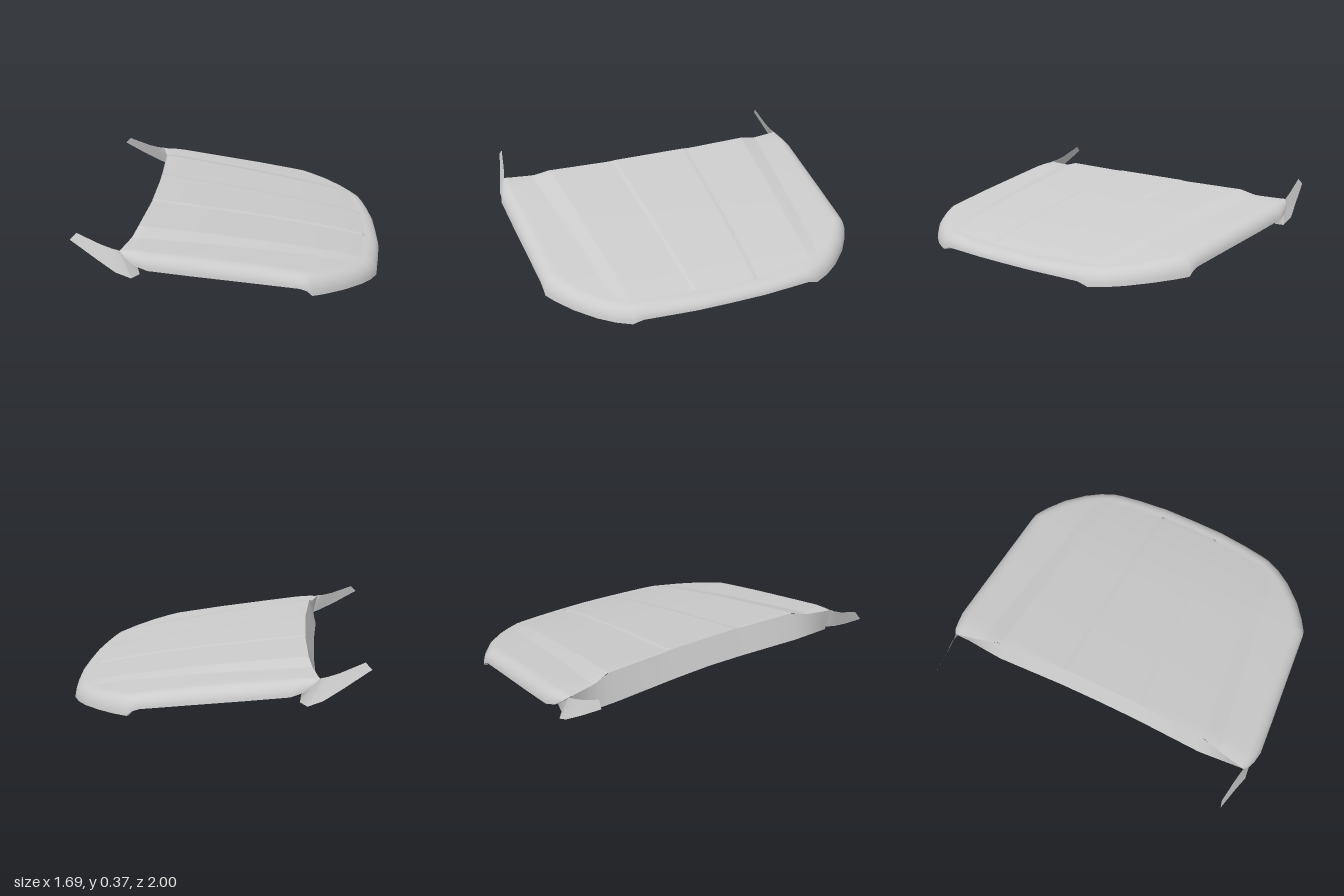
import * as THREE from 'three';
import { mergeVertices } from 'three/addons/utils/BufferGeometryUtils.js';

const material = new THREE.MeshStandardMaterial({ color: 0xcccccc, side: THREE.DoubleSide });

// Piecewise-linear lookup through [input, output] pairs
function lookup(table, v) {
  if (v <= table[0][0]) return table[0][1];
  for (let i = 1; i < table.length; i++) {
    const [a, b] = [table[i - 1], table[i]];
    if (v <= b[0]) return THREE.MathUtils.mapLinear(v, a[0], b[0], a[1], b[1]);
  }
  return table[table.length - 1][1];
}

// Welded smooth surface from one or more grids of [x, y, z] rows
function surface(name, ...grids) {
  const pos = [], index = [];
  for (const rows of grids) {
    const base = pos.length / 3, n = rows[0].length;
    rows.forEach(row => row.forEach(p => pos.push(...p)));
    for (let i = 0; i < rows.length - 1; i++) {
      for (let j = 0; j < n - 1; j++) {
        const a = base + i * n + j, b = a + 1, c = a + n, d = c + 1;
        index.push(a, b, c, b, d, c);
      }
    }
  }
  let geo = new THREE.BufferGeometry();
  geo.setAttribute('position', new THREE.Float32BufferAttribute(pos, 3));
  geo.setIndex(index);
  geo = mergeVertices(geo, 1e-4);
  geo.computeVertexNormals();
  const mesh = new THREE.Mesh(geo, material);
  mesh.name = name;
  return mesh;
}

// Lower rim of one half, from the rear corner round to the nose
const halfRim = [
  [-0.58, 0.285, 0.945], [-0.55, 0.255, 0.97], [-0.5, 0.22, 0.987], [-0.43, 0.197, 1],
  [-0.2, 0.165, 0.987], [0.1, 0.125, 0.968], [0.36, 0.09, 0.952], [0.4, 0.075, 0.95],
  [0.43, 0.048, 0.946], [0.5, 0.043, 0.906], [0.6, 0.035, 0.833], [0.7, 0.022, 0.73],
  [0.76, 0.013, 0.645], [0.8, 0.006, 0.56], [0.808, 0.026, 0.5], [0.825, 0.031, 0.38],
  [0.843, 0.034, 0.2], [0.845, 0.034, 0],
];
const spine = [[-0.5, 0.32], [0, 0.248], [0.4, 0.178], [0.6, 0.138], [0.75, 0.1], [0.8, 0.082]];
const rearEdge = [[0, -0.5], [0.25, -0.5], [0.67, -0.522], [0.945, -0.58]];
const rearX = z => lookup(rearEdge, Math.abs(z));

// Crease lines converge toward the nose
function creases(x) {
  const t = THREE.MathUtils.clamp((x + 0.5) / 1.25, 0, 1);
  return { t, inner: 0.24 - 0.06 * t, top: 0.67 - 0.12 * t, foot: 0.765 - 0.16 * t };
}

// Height of the upper skin
function skinY(x, z) {
  const c = creases(x);
  const drop = lookup([
    [c.inner, 0], [c.inner + 0.012, 0.004], [c.top, 0.005],
    [c.foot, 0.032 - 0.02 * c.t], [0.95, 0.036 - 0.015 * c.t],
  ], Math.abs(z));
  return lookup(spine, x) - drop;
}

// Point moved inward, square to the rim
function inset(k, d) {
  const a = halfRim[Math.max(k - 1, 0)], p = halfRim[k];
  const b = halfRim[k + 1] || [0.843, 0, -0.2];
  const tx = b[0] - a[0], tz = b[2] - a[2], len = Math.hypot(tx, tz);
  const z = k === halfRim.length - 1 ? 0 : p[2] - (tx / len) * d;
  return [k === 0 ? rearX(z) : p[0] + (tz / len) * d, p[1], z];
}

const mirror = half => [...half, ...half.slice(0, -1).reverse().map(([x, y, z]) => [x, y, -z])];
const rimWidth = k => [0.04, 0.055, 0.065, 0.075][k] ?? 0.085;

function hoodSkin() {
  // Rounded rim
  const rim = [];
  const steps = 7;
  for (let r = 0; r <= steps; r++) {
    const a = (r / steps) * Math.PI / 2;
    rim.push(mirror(halfRim.map((p, k) => {
      const q = inset(k, rimWidth(k) * (1 - Math.cos(a)));
      const e = inset(k, rimWidth(k));
      q[1] = THREE.MathUtils.lerp(p[1], skinY(e[0], e[2]), Math.sin(a));
      return q;
    })));
  }
  // Upper panel, with columns following the creases
  const panel = halfRim.map((_, k) => {
    const [ex, , w] = inset(k, rimWidth(k));
    const c = creases(ex);
    const cols = [0, 0.1, c.inner - 0.012, c.inner, c.inner + 0.012, c.inner + 0.024, 0.4,
      c.top - 0.015, c.top, c.foot, c.foot + 0.015, 0.84, 2].map(z => Math.min(z, w));
    const zs = [...cols.slice(1).reverse().map(z => -z), ...cols];
    return zs.map(z => {
      const x = k === 0 ? rearX(z) : Math.max(ex, rearX(z));
      return [x, skinY(x, z), z];
    });
  });
  return surface('hoodSkin', rim, panel);
}

// Small folded lip under the rim
function rimLip() {
  const folded = halfRim.map((_, k) => {
    const q = inset(k, 0.022);
    q[1] -= 0.006;
    return q;
  });
  return surface('rimLip', [mirror(folded), mirror(halfRim)]);
}

// Wall and flange under the rear edge
function rearWall() {
  const wall = [[], []], flange = [[], []];
  for (let i = 0; i <= 40; i++) {
    const z = -0.945 + 1.89 * i / 40, s = Math.abs(z);
    const x = rearX(z);
    const bx = lookup([[0, -0.555], [0.25, -0.556], [0.67, -0.57], [0.945, -0.545]], s);
    const by = lookup([[0, 0.17], [0.67, 0.155], [0.945, 0.14]], s);
    wall[0].push([bx, by, z]);
    wall[1].push([x, skinY(x, z), z]);
    flange[0].push([bx, by, z]);
    flange[1].push([bx + 0.04, by + 0.005, z]);
  }
  const group = new THREE.Group();
  group.name = 'rearWall';
  group.add(surface('wallPanel', wall), surface('wallFlange', flange));
  return group;
}

// Thin swept corner wing with its folded end
function cornerWing(side, name) {
  const flip = rows => rows.map(r => r.map(([x, y, z]) => [x, y, z * side]));
  const group = new THREE.Group();
  group.name = name;
  group.add(
    surface('wingBlade', flip([
      [[-0.845, 0.33, 0.915], [-0.7, 0.235, 0.95], [-0.6, 0.175, 0.978], [-0.52, 0.14, 0.972]],
      [[-0.81, 0.365, 0.905], [-0.68, 0.31, 0.925], [-0.62, 0.292, 0.935], [-0.578, 0.285, 0.945]],
    ])),
    surface('wingFold', flip([
      [[-0.52, 0.14, 0.972], [-0.48, 0.15, 0.935]],
      [[-0.578, 0.285, 0.945], [-0.49, 0.225, 0.965]],
    ])),
  );
  return group;
}

export function createModel() {
  const model = new THREE.Group();
  model.name = 'hoodPanel';
  model.add(hoodSkin(), rimLip(), rearWall(), cornerWing(1, 'frontCornerWing'), cornerWing(-1, 'backCornerWing'));
  return model;
}
